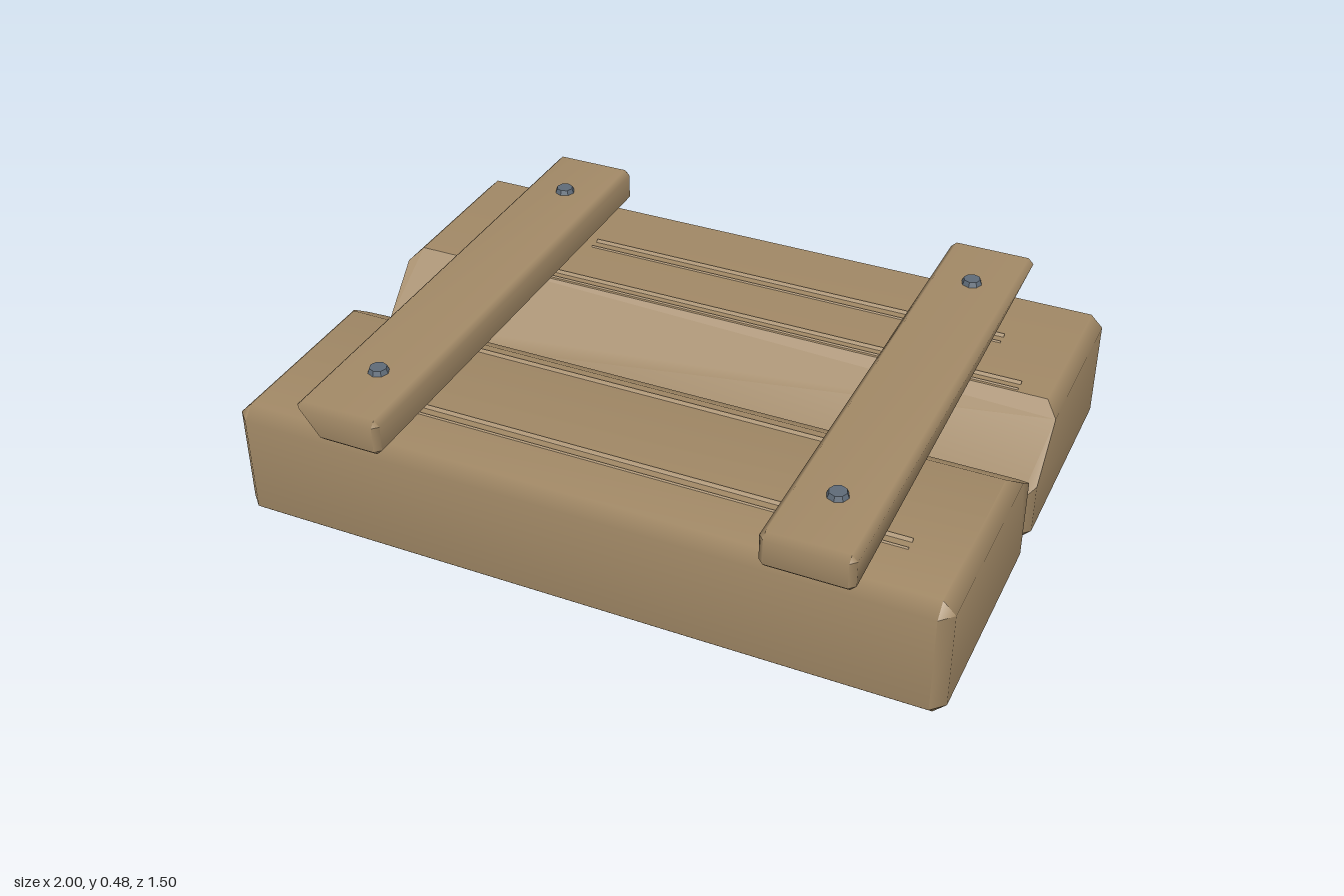
import * as THREE from 'three';
import { ConvexGeometry } from 'three/addons/geometries/ConvexGeometry.js';

const V = (x, y, z) => new THREE.Vector3(x, y, z);

// Corner points of a box with every edge bevelled by c
function bevelledPoints(min, max, c) {
  const pts = [];
  const mid = min.clone().add(max).multiplyScalar(0.5);
  const h = max.clone().sub(min).multiplyScalar(0.5);
  for (const sx of [-1, 1]) for (const sy of [-1, 1]) for (const sz of [-1, 1]) {
    for (const axis of [0, 1, 2]) {
      const d = [0, 1, 2].map((i) => h.getComponent(i) - (i === axis ? 0 : c));
      pts.push(V(mid.x + sx * d[0], mid.y + sy * d[1], mid.z + sz * d[2]));
    }
  }
  return pts;
}

// Keep the part of a convex solid lying below a plane
function cut(pts, plane) {
  const inside = pts.filter((p) => plane.distanceToPoint(p) <= 0);
  const outside = pts.filter((p) => plane.distanceToPoint(p) > 0);
  const result = [...inside];
  for (const a of inside) for (const b of outside) {
    const da = plane.distanceToPoint(a), db = plane.distanceToPoint(b);
    result.push(a.clone().lerp(b, da / (da - db)));
  }
  return result;
}

// Plane through three points, facing along the given hint
function planeThrough(a, b, c, hint) {
  const p = new THREE.Plane().setFromCoplanarPoints(a, b, c);
  return p.normal.dot(hint) < 0 ? p.negate() : p;
}

// Convex solid whose bevels blend into the large faces (area-weighted normals, sharp past 45 degrees)
function softSolid(pts) {
  const geometry = new ConvexGeometry(pts);
  const pos = geometry.attributes.position;
  const corner = (i) => V().fromBufferAttribute(pos, i);
  const faces = [];
  for (let i = 0; i < pos.count; i += 3) {
    const [a, b, c] = [corner(i), corner(i + 1), corner(i + 2)];
    const area = b.clone().sub(a).cross(c.clone().sub(a));
    faces.push({ corners: [a, b, c], area, normal: area.clone().normalize() });
  }
  faces.forEach((face, f) => face.corners.forEach((p, k) => {
    const n = V(0, 0, 0);
    for (const other of faces) {
      const touches = other.corners.some((q) => q.distanceToSquared(p) < 1e-10);
      if (touches && other.normal.dot(face.normal) > Math.cos(0.793)) n.add(other.area);
    }
    n.normalize();
    geometry.attributes.normal.setXYZ(f * 3 + k, n.x, n.y, n.z);
  }));
  return geometry;
}

// Low wedge running along x, upright on its -z side
function ridgeGeometry(length, width, height) {
  const shape = new THREE.Shape([
    new THREE.Vector2(0, 0), new THREE.Vector2(0, height), new THREE.Vector2(-width, 0),
  ]);
  return new THREE.ExtrudeGeometry(shape, { depth: length, bevelEnabled: false })
    .translate(0, 0, -length / 2).rotateY(Math.PI / 2);
}

export function createModel() {
  const model = new THREE.Group();
  const wood = new THREE.MeshStandardMaterial({ color: 0xa38a67 });
  wood.name = 'wood';
  const iron = new THREE.MeshStandardMaterial({ color: 0x5f6b78 });
  iron.name = 'iron';

  const add = (name, geometry, material, parent = model) => {
    const mesh = new THREE.Mesh(geometry, material);
    mesh.name = name;
    parent.add(mesh);
    return mesh;
  };

  // Two heavy planks, each with its inner top edge cut to a slope
  const frontCut = planeThrough(V(0, 0.367, 0.17), V(1, 0.367, 0.17), V(0, 0.26, 0.015), V(0, 1, -1));
  const backCut = planeThrough(V(0, 0.367, -0.22), V(1, 0.367, -0.22), V(0, 0.16, -0.02), V(0, 1, 1));
  add('frontPlank', softSolid(
    cut(bevelledPoints(V(-1, 0.012, 0.015), V(1, 0.367, 0.712), 0.035), frontCut)), wood);
  add('backPlank', softSolid(
    cut(bevelledPoints(V(-1, 0.012, -0.715), V(1, 0.367, -0.02), 0.035), backCut)), wood);

  // Wood grain lips: [x start, x end, z of first edge, gap to second edge, on top]
  const grain = [
    [-0.505, 0.77, -0.471, 0.036, true],
    [-0.6, 0.88, -0.264, 0.032, true],
    [-0.82, 0.6, 0.2, 0, true],
    [-0.6, 0.83, 0.495, 0.034, true],
    [-0.71, 0.76, -0.44, 0.02, false],
    [-0.88, 0.52, -0.15, 0.035, false],
    [-0.82, 0.55, 0.368, 0.035, false],
    [-0.85, 0.83, 0.555, 0.03, false],
  ];
  for (const [x0, x1, z, gap, top] of grain) {
    const group = new THREE.Group();
    group.name = 'grainLine';
    group.position.set((x0 + x1) / 2, top ? 0.366 : 0.013, z);
    if (!top) group.rotation.x = Math.PI;
    model.add(group);
    add('grainLip', ridgeGeometry(x1 - x0, 0.01, 0.008), wood, group);
    if (gap) add('grainEdge', ridgeGeometry(x1 - x0, 0.005, 0.005), wood, group).position.z = gap;
  }

  // Cross battens: the same board with one worn lower corner, turned half round for the other side
  const battenPoints = bevelledPoints(V(-0.77, 0.368, -0.748), V(-0.522, 0.474, 0.748), 0.016);
  for (const p of battenPoints) if (p.x < -0.7 && p.y < 0.4 && p.z > 0) p.x += 0.055;
  const battenGeometry = softSolid(battenPoints);
  for (const side of ['right', 'left']) {
    const group = new THREE.Group();
    group.name = side + 'Batten';
    if (side === 'left') group.rotation.y = Math.PI;
    model.add(group);
    add('battenBoard', battenGeometry, wood, group);
    // Bolt heads
    for (const z of [-0.535, 0.535]) {
      const bolt = add('boltHead', new THREE.CylinderGeometry(0.024, 0.031, 0.018, 8).toNonIndexed(), iron, group);
      bolt.geometry.computeVertexNormals();
      bolt.position.set(-0.645, 0.479, z);
    }
  }

  // Stand the model on the ground
  model.position.y = -new THREE.Box3().setFromObject(model).min.y;
  return model;
}
